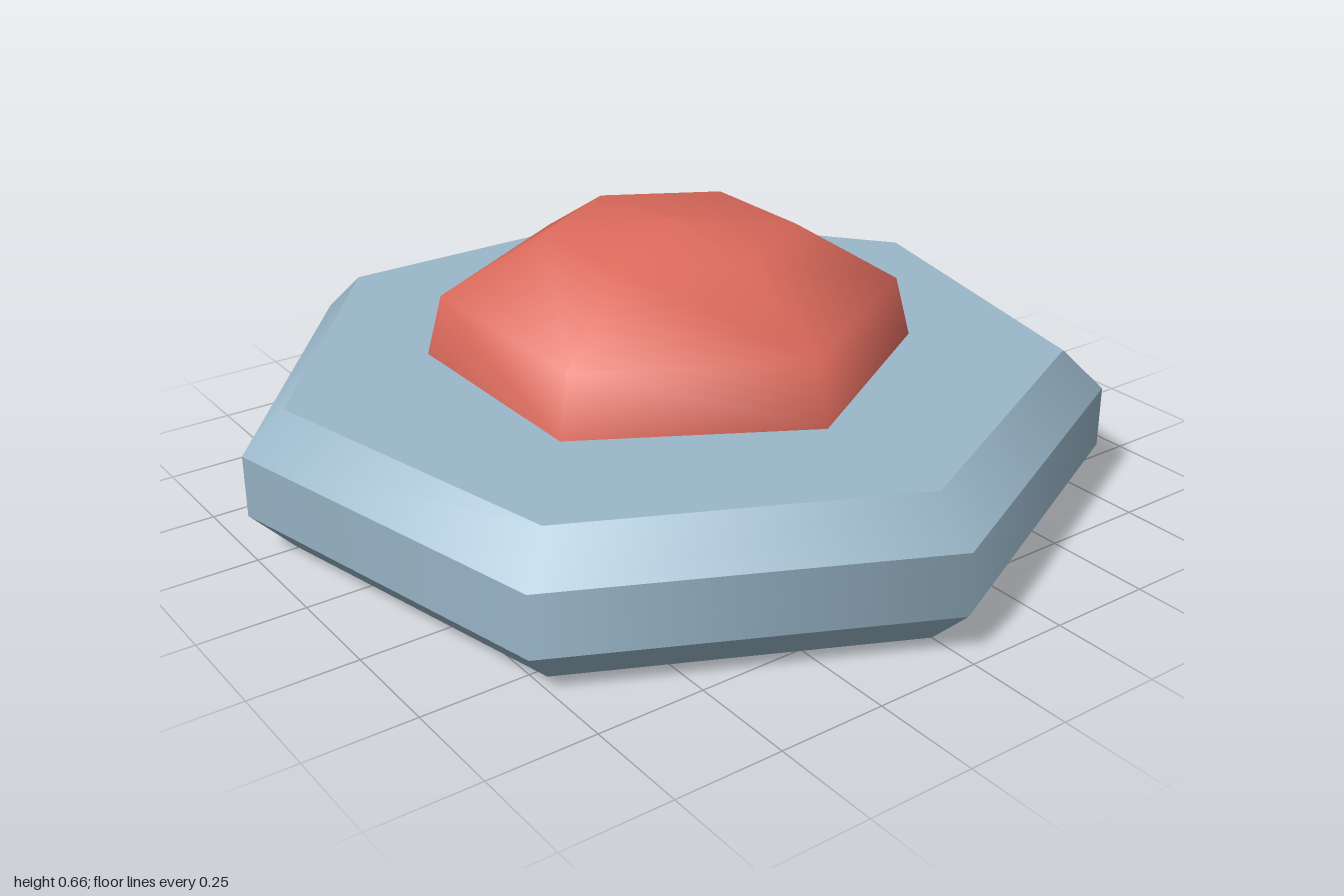
import * as THREE from 'three';

export function createModel() {
  const group = new THREE.Group();
  const blue = new THREE.MeshStandardMaterial({ color: 0x9ab7c9 });
  blue.name = 'pale blue';
  const red = new THREE.MeshStandardMaterial({ color: 0xdc6a5c });
  red.name = 'coral red';

  const centreX = -0.05; // centre of the seven-sided plate
  const wide = 1.026, narrow = 0.926;
  const corner = Math.PI / 2; // first corner points to +x

  // Seven-sided base: lower bevel, rim, upper bevel
  const base = new THREE.Group();
  base.name = 'base';
  const layers = [
    ['lowerBevel', narrow, wide, 0, 0.1],
    ['rim', wide, wide, 0.1, 0.248],
    ['upperBevel', wide, narrow, 0.248, 0.345],
  ];
  for (const [name, r0, r1, y0, y1] of layers) {
    const geometry = new THREE.CylinderGeometry(r1, r0, y1 - y0, 7, 1, true, corner);
    const mesh = new THREE.Mesh(geometry, blue);
    mesh.name = name;
    mesh.position.y = (y0 + y1) / 2;
    base.add(mesh);
  }

  // Flat top and bottom faces
  for (const [name, y, tilt] of [['topFace', 0.345, -1], ['bottomFace', 0, 1]]) {
    const face = new THREE.Mesh(new THREE.CircleGeometry(narrow, 7), blue);
    face.name = name;
    face.rotation.x = tilt * Math.PI / 2;
    face.position.y = y;
    base.add(face);
  }
  group.add(base);

  // Smooth-shaded six-sided dome
  const profile = [[0.575, 0.345], [0.538, 0.49], [0.293, 0.636], [0, 0.66]]
    .map(([r, y]) => new THREE.Vector2(r, y));
  const dome = new THREE.Mesh(new THREE.LatheGeometry(profile, 6, corner), red);
  dome.name = 'dome';
  group.add(dome);

  base.position.x = dome.position.x = centreX;
  return group;
}
